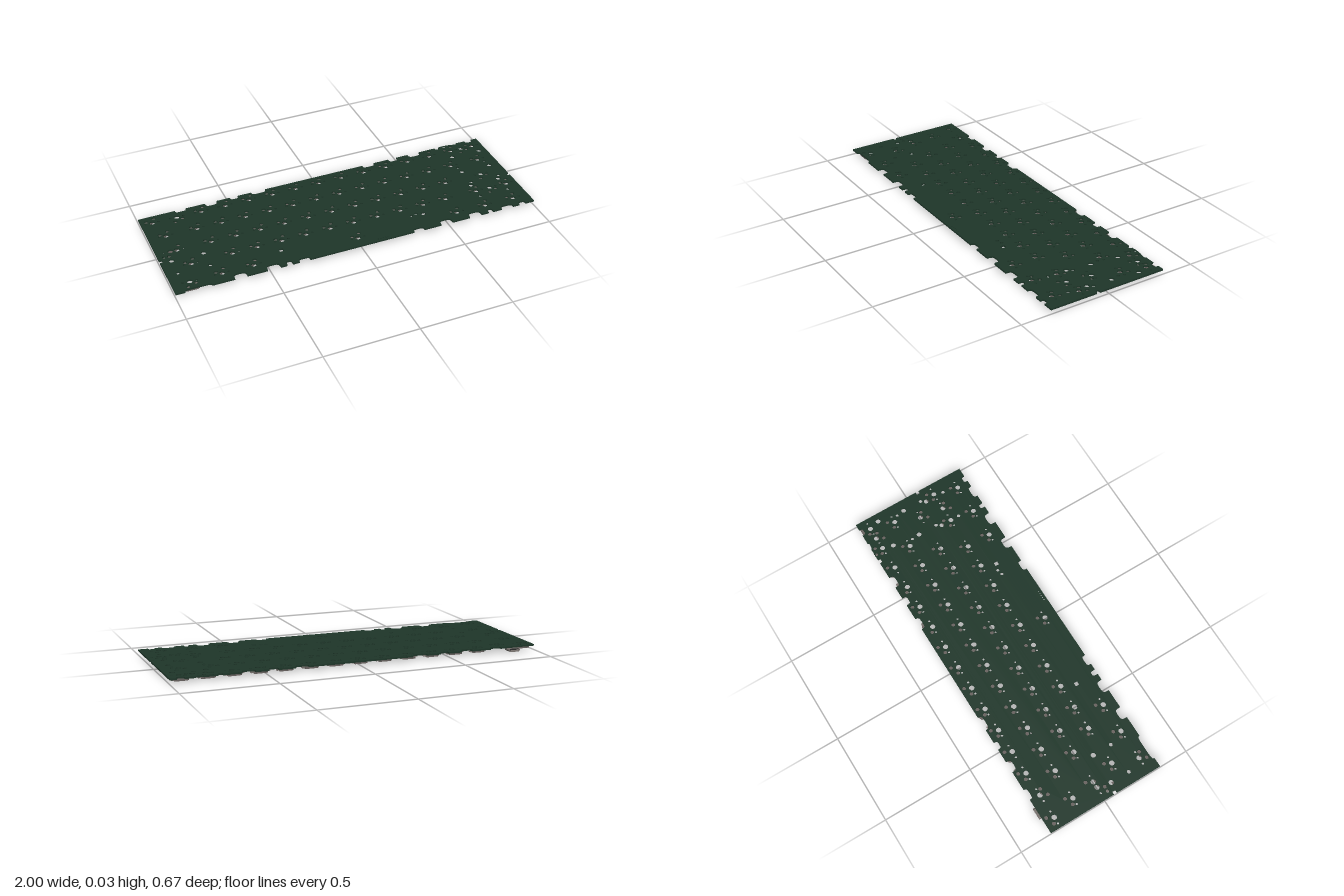
import * as THREE from 'three';

const U = 0.1343, MM = U / 19.05;            // key pitch and one millimetre
const Z0 = -0.325, Z1 = 0.335;               // back and front edges of the board
const Y0 = 0.021, Y1 = 0.03;                 // underside and top of the board

const mat = (color) => new THREE.MeshStandardMaterial({ color });
const range = (a, n) => Array.from({ length: n }, (_, i) => a + i);

// key rows: x of each switch in key units, and the ones turned by half a turn
const rows = [
  { x: [...range(-7, 15), 6.5], flip: [-6, 6.5] },
  { x: [-6.75, ...range(-5.5, 12), 6.75], flip: [] },
  { x: [-6.625, -6.875, ...range(-5.25, 11), 6.375], flip: [-6.875, 6.375] },
  { x: [-6.375, ...range(-4.75, 10), 5.625, 7, 6.25], flip: [6.25] },
  { x: [-6.75, -5.5, -4.25, 0, 4.25, 5.5, 6.75], flip: [-6.75] },
];
const keys = rows.flatMap((row, r) => row.x.map((k) => ({
  x: k * U, z: (r - 2) * U, s: row.flip.includes(k) ? -1 : 1,
})));

// edge cut-outs: centre x, half width, depth
const backNotches = [
  [-0.77, 0.03, 0.018], [-0.6, 0.032, 0.027], [-0.47, 0.022, 0.02], [-0.33, 0.04, 0.022],
  [0.32, 0.035, 0.022], [0.47, 0.025, 0.025], [0.6, 0.035, 0.027], [0.745, 0.012, 0.015],
  [0.85, 0.02, 0.008], [0.945, 0.02, 0.02],
];
const frontNotches = [
  [-0.88, 0.07, 0.014], [-0.66, 0.033, 0.034], [-0.485, 0.035, 0.034], [-0.4, 0.015, 0.028],
  [-0.32, 0.03, 0.022], [0.32, 0.03, 0.022], [0.48, 0.033, 0.034], [0.65, 0.035, 0.034],
  [0.74, 0.014, 0.025], [0.84, 0.035, 0.022], [0.93, 0.018, 0.02],
];

// rounded cut-out, points run from -x to +x
function notchPoints([cx, w, d], edge, inward) {
  return range(0, 9).map((i) => {
    const a = Math.PI * (1 - i / 8);
    const c = Math.cos(a);
    return [cx + w * Math.sign(c) * Math.sqrt(Math.abs(c)), edge + inward * d * Math.sqrt(Math.abs(Math.sin(a)))];
  });
}

function boardGeometry() {
  const side = (x, dir) => [[x, 0.072], [x - dir * 0.016, 0.072], [x - dir * 0.016, 0.053], [x, 0.053]];
  const front = frontNotches.flatMap((n) => notchPoints(n, Z1, -1));
  const back = backNotches.flatMap((n) => notchPoints(n, Z0, 1)).reverse();
  const outline = [[-1, Z1], ...front, [1, Z1], ...side(1, 1), [1, Z0], ...back, [-1, Z0], ...side(-1, -1).reverse()];
  const shape = new THREE.Shape(outline.map(([x, z]) => new THREE.Vector2(x, -z)));

  // round holes, left out where they would run into another opening
  const taken = [];
  const hole = (x, z, r, segments = 12) => {
    const nearNotch = (list, gap) => list.some(([cx, w, d]) => Math.abs(x - cx) < w + r + 0.002 && gap < d + r + 0.002);
    if (nearNotch(backNotches, z - Z0) || nearNotch(frontNotches, Z1 - z)) return;
    if (taken.some((t) => Math.hypot(t.x - x, t.z - z) < t.r + r + 0.001)) return;
    taken.push({ x, z, r });
    const pts = range(0, segments).map((i) => {
      const a = ((i + 0.5) / segments) * Math.PI * 2;
      return new THREE.Vector2(x + r * Math.cos(a), -z - r * Math.sin(a));
    });
    shape.holes.push(new THREE.Path(pts));
  };

  // switch posts
  keys.forEach((k) => hole(k.x, k.z, 2.05 * MM, 16));
  // stabiliser holes: centre x, row, direction of the small hole
  [[6.5, -2, -1], [6.375, 0, 1], [-6.375, 1, 1], [6.25, 1, 1]].forEach(([k, r, dir]) => {
    for (const sx of [-1, 1]) {
      hole(k * U + sx * 11.94 * MM, r * U + dir * 7 * MM, 1.5 * MM);
      hole(k * U + sx * 11.94 * MM, r * U - dir * 8.24 * MM, 2 * MM);
    }
  });
  for (const sx of [-1, 1]) hole(sx * 0.402, 0.211, 0.016, 4);
  // extra mounting holes
  [[0.767, -0.103], [0.933, -0.103], [-0.968, 0.035], [0.365, 0.197], [0.335, 0.205]]
    .forEach(([x, z]) => hole(x, z, 0.009));
  range(0, 5).forEach((i) => hole(0.09 + i * 0.014, 0.32, 0.004, 8));
  // guide pegs and contact pins
  keys.forEach((k) => {
    for (const sx of [-1, 1]) hole(k.x + sx * 5.08 * MM, k.z, 0.9 * MM, 10);
    hole(k.x - k.s * 3.81 * MM, k.z - k.s * 2.54 * MM, 1.5 * MM);
    hole(k.x + k.s * 2.54 * MM, k.z - k.s * 5.08 * MM, 1.5 * MM);
  });

  const geo = new THREE.ExtrudeGeometry(shape, { depth: Y1 - Y0, bevelEnabled: false });
  return geo.rotateX(-Math.PI / 2).translate(0, Y0, 0);
}

// stepped socket body, in millimetres around the switch centre
function socketGeometry() {
  const pts = [[-6.1, 1.2], [-0.6, 1.2], [0.2, 2.2], [1.2, 2.9], [4.8, 2.9], [4.8, 6.7], [4.4, 7],
    [-3.6, 7], [-5.3, 6.2], [-6.1, 4.6]];
  const shape = new THREE.Shape(pts.map(([x, y]) => new THREE.Vector2(x * MM, y * MM)));
  const geo = new THREE.ExtrudeGeometry(shape, { depth: 0.01, bevelEnabled: false });
  return geo.rotateX(-Math.PI / 2).translate(0, Y0 - 0.01, 0);
}

export function createModel() {
  const root = new THREE.Group();
  const add = (name, geo, material, parent = root) => {
    const m = new THREE.Mesh(geo, material);
    m.name = name;
    parent.add(m);
    return m;
  };
  const block = (name, w, h, d, x, z, material, parent) =>
    add(name, new THREE.BoxGeometry(w, h, d), material, parent).position.set(x, Y0 - h / 2, z);

  const plastic = mat(0x68625f), metal = mat(0x77716d), chip = mat(0x2a2a2a);

  add('circuitBoard', boardGeometry(), mat(0x1e3629));

  // switch sockets with their solder tabs
  const body = socketGeometry();
  keys.forEach((k) => {
    const socket = new THREE.Group();
    socket.name = 'switchSocket';
    add('socketBody', body, plastic, socket);
    block('solderTab', 2.2 * MM, 0.006, 2.4 * MM, -7 * MM, -2.6 * MM, metal, socket);
    block('solderTab', 2.2 * MM, 0.006, 2.4 * MM, 5.8 * MM, -5.08 * MM, metal, socket);
    socket.position.set(k.x, 0, k.z);
    if (k.s < 0) socket.rotation.y = Math.PI;
    root.add(socket);
  });

  // cable port at the back edge
  const stadium = (P, w, h) => {
    const r = h / 2, c = w / 2 - r;
    return new P().absarc(c, 0, r, -Math.PI / 2, Math.PI / 2).absarc(-c, 0, r, Math.PI / 2, Math.PI * 1.5).closePath();
  };
  const shell = stadium(THREE.Shape, 0.064, 0.021);
  shell.holes.push(stadium(THREE.Path, 0.058, 0.016));
  const port = new THREE.Group();
  port.name = 'cablePort';
  add('portShell', new THREE.ExtrudeGeometry(shell, { depth: 0.049, bevelEnabled: false, curveSegments: 8 }), metal, port);
  add('portTongue', new THREE.BoxGeometry(0.044, 0.005, 0.036), chip, port).position.set(0, 0, 0.028);
  add('portBack', new THREE.BoxGeometry(0.05, 0.017, 0.006), metal, port).position.set(0, 0, 0.045);
  port.position.set(-0.877, 0.0105, -0.335);
  root.add(port);

  // small parts under the board
  block('blueComponent', 0.04, 0.01, 0.038, -0.55, -0.084, mat(0x1c3f9c));
  block('smallChip', 0.02, 0.005, 0.013, -0.5, -0.122, chip);
  block('sideConnector', 0.03, 0.006, 0.025, -0.955, 0.092, plastic);
  return root;
}
